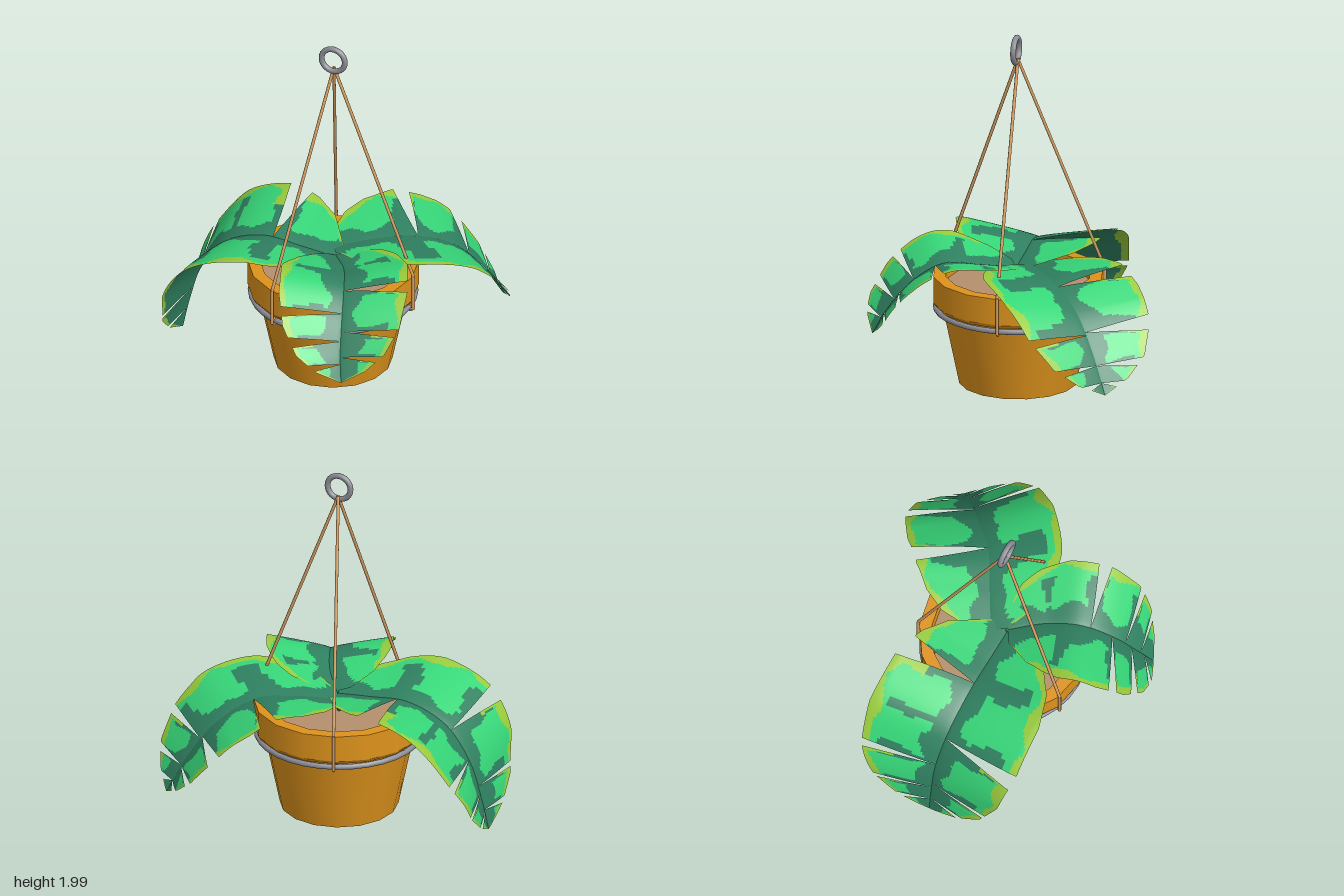
import * as THREE from 'three';
import { mergeGeometries } from 'three/addons/utils/BufferGeometryUtils.js';

const mat = (name, color) => Object.assign(new THREE.MeshStandardMaterial({ color }), { name });
const V = (x, y, z) => new THREE.Vector3(x, y, z);
const UP = V(0, 1, 0);
const CX = 0.03, CZ = 0.02; // pot axis

// Lathe with a crease at every profile point
function creasedLathe(points, sides) {
  const parts = [];
  for (let i = 0; i < points.length - 1; i++) {
    const pair = [points[i], points[i + 1]].map(p => new THREE.Vector2(...p));
    parts.push(new THREE.LatheGeometry(pair, sides));
  }
  return mergeGeometries(parts);
}

function rod(a, b, r) {
  const g = new THREE.CylinderGeometry(r, r, a.distanceTo(b), 8);
  const dir = b.clone().sub(a).normalize();
  g.applyQuaternion(new THREE.Quaternion().setFromUnitVectors(UP, dir));
  const m = a.clone().add(b).multiplyScalar(0.5);
  return g.translate(m.x, m.y, m.z);
}

// Half-width of a leaf at fraction t of its length
const PROFILE = [[0, 0.1], [0.1, 0.29], [0.2, 0.38], [0.33, 0.44], [0.52, 0.45],
  [0.7, 0.41], [0.85, 0.31], [0.94, 0.17], [1, 0]];
function halfWidth(t) {
  const i = Math.max(1, PROFILE.findIndex(p => p[0] >= t));
  const [t0, w0] = PROFILE[i - 1], [t1, w1] = PROFILE[i];
  return THREE.MathUtils.mapLinear(t, t0, t1, w0, w1);
}

// Lobes between the slits: root range on the midrib and range on the outline
function lobesOf(slits) {
  const cuts = [[0, 0], ...slits, [1, 1]];
  return slits.concat([[1, 1]]).map((next, i) => ({
    roots: [cuts[i], next].map(([a, b]) => (a + b) / 2 * 0.98),
    from: cuts[i][1], to: next[0],
  }));
}

// One skin of a leaf: flat lobes bent along the spine, coloured by zone
function bladeGeometry(curve, width, lift, sides, under) {
  const N = 30, total = curve.getLength();
  const chord = curve.getPoint(1).sub(curve.getPoint(0)).setY(0).normalize();
  const place = (t, w) => {
    const tangent = curve.getTangentAt(t);
    const side = UP.clone().cross(tangent.clone().setY(0).addScaledVector(chord, 0.5)).normalize();
    const normal = tangent.clone().cross(side).normalize();
    const rise = lift * Math.pow(Math.min(1, Math.abs(w) / 0.42), 0.8) - (under ? 0.006 : 0);
    return curve.getPointAt(t).addScaledVector(side, w).addScaledVector(normal, rise);
  };
  const pos = [], zones = [[], [], []]; // midrib and veins, blade, margin
  sides.forEach((slits, s) => lobesOf(slits).forEach(({ roots, from, to }) => {
    const sign = s ? -1 : 1, base = pos.length / 3;
    const flip = (s === 1) !== under;
    const veins = to - from > 0.35 ? 2 : 1;
    const local = (u, v) => {
      const t = THREE.MathUtils.lerp(from, to, u), root = THREE.MathUtils.lerp(...roots, u);
      return [THREE.MathUtils.lerp(root, t, v), sign * width * halfWidth(t) * v];
    };
    for (let j = 0; j <= N; j++) for (let i = 0; i <= N; i++) {
      pos.push(...place(...local(i / N, j / N)).toArray());
    }
    for (let j = 0; j < N; j++) for (let i = 0; i < N; i++) {
      const u = (i + 0.5) / N, v = (j + 0.5) / N, [t, w] = local(u, v), l = t * total;
      const wave = Math.sin(l * 17 + w * 9 + s * 2) * 0.6 + Math.sin(l * 31 - w * 23) * 0.4;
      const cell = (u * veins) % 1;
      const onMidrib = Math.abs(w) < 0.095 + 0.04 * wave;
      const onVein = Math.min(cell, 1 - cell) < 0.12 + 0.09 * wave && v < 0.8;
      const onSlit = from > 0 && u < 0.07 + 0.05 * wave && v > 0.55;
      let zone = under || onMidrib || onVein ? 0 : 1;
      if (onSlit || v > 0.89 + 0.07 * wave) zone = 2;
      const a = base + j * (N + 1) + i, b = a + 1, c = a + N + 1, d = c + 1;
      zones[zone].push(...(flip ? [a, c, b, b, c, d] : [a, b, c, b, d, c]));
    }
  }));
  const g = new THREE.BufferGeometry();
  g.setAttribute('position', new THREE.Float32BufferAttribute(pos, 3));
  g.setIndex(zones.flat());
  let start = 0;
  zones.forEach((z, i) => { g.addGroup(start, z.length, i); start += z.length; });
  g.computeVertexNormals();
  return g;
}

export function createModel() {
  const model = new THREE.Group();
  const potMat = mat('terracotta', 0xde931c), soilMat = mat('soil', 0xb58f6c);
  const ropeMat = mat('rope', 0xd6a064), metal = mat('metal', 0x8d8d96);
  const greens = [mat('darkGreen', 0x2f8060), mat('lightGreen', 0x36d678), mat('marginGreen', 0x98cb3c)];
  const add = (parent, name, geo, material, x = 0, y = 0, z = 0) => {
    const m = new THREE.Mesh(geo, material);
    m.name = name;
    m.position.set(x, y, z);
    parent.add(m);
  };
  const addGroup = name => {
    const g = new THREE.Group();
    g.name = name;
    model.add(g);
    return g;
  };

  // Pot
  add(model, 'potBody', creasedLathe([[0, 0.01], [0.325, 0.01], [0.42, 0.47]], 16), potMat, CX, 0, CZ);
  add(model, 'potRim', creasedLathe([[0.41, 0.46], [0.455, 0.46], [0.468, 0.48], [0.468, 0.63],
    [0.40, 0.63], [0.39, 0.55]], 16), potMat, CX, 0, CZ);
  add(model, 'soil', new THREE.CircleGeometry(0.395, 16).rotateX(-Math.PI / 2), soilMat, CX, 0.57, CZ);

  // Metal band and hanging ring
  add(model, 'potBand', new THREE.TorusGeometry(0.45, 0.016, 8, 32).rotateX(Math.PI / 2), metal, CX, 0.44, CZ);
  add(model, 'hangingRing', new THREE.TorusGeometry(0.069, 0.016, 10, 28), metal, 0.035, 1.915, 0.03);

  // Ropes: from the ring over the rim, with a loop round the band
  const top = V(0.035, 1.865, 0.02);
  for (const angle of [0, 1.94, -1.94]) {
    const rope = addGroup('rope');
    const at = (r, y) => V(CX + Math.cos(angle) * r, y, CZ + Math.sin(angle) * r);
    const rim = at(0.476, 0.64);
    add(rope, 'ropeStrand', rod(top, rim, 0.009), ropeMat);
    add(rope, 'ropeDrop', rod(rim, at(0.476, 0.43), 0.009), ropeMat);
    const loop = new THREE.TorusGeometry(0.02, 0.006, 6, 12).rotateY(-angle);
    add(rope, 'ropeLoop', loop, ropeMat, ...at(0.455, 0.438).toArray());
  }

  // Leaves: upper and lower skin on a bent spine, and a short stem
  const addLeaf = (name, width, lift, spine, ...sides) => {
    const leaf = addGroup(name);
    const curve = new THREE.CatmullRomCurve3(spine, false, 'centripetal');
    add(leaf, 'leafTop', bladeGeometry(curve, width, lift, sides, false), greens);
    add(leaf, 'leafUnderside', bladeGeometry(curve, width, lift, sides, true), greens);
    add(leaf, 'stem', rod(V(CX, 0.56, CZ), spine[0], 0.012), greens[0]);
  };
  addLeaf('rightLeaf', 1.02, 0.075,
    [V(0.05, 0.66, 0.03), V(-0.15, 0.68, 0.03), V(-0.38, 0.695, 0.03), V(-0.61, 0.60, 0.03),
      V(-0.755, 0.40, 0.03), V(-0.815, 0.2, 0.04), V(-0.855, 0.01, 0.05)],
    [[0.52, 0.58], [0.81, 0.83], [0.92, 0.94]],
    [[0.24, 0.33], [0.68, 0.71], [0.84, 0.86], [0.93, 0.95]]);
  addLeaf('backLeaf', 0.91, 0.055,
    [V(0, 0.67, -0.05), V(0.2, 0.70, -0.17), V(0.38, 0.70, -0.28), V(0.545, 0.60, -0.44),
      V(0.67, 0.42, -0.56), V(0.76, 0.22, -0.65)],
    [[0.35, 0.46], [0.67, 0.74], [0.86, 0.89], [0.95, 0.97]],
    [[0.70, 0.74], [0.86, 0.89], [0.95, 0.97]]);
  addLeaf('frontLeaf', 0.78, 0.08,
    [V(0.05, 0.67, 0.03), V(0.17, 0.71, 0.2), V(0.25, 0.73, 0.38), V(0.31, 0.63, 0.55),
      V(0.355, 0.47, 0.68), V(0.39, 0.34, 0.75)],
    [[0.45, 0.51], [0.71, 0.75], [0.86, 0.89]],
    [[0.60, 0.65], [0.76, 0.81], [0.90, 0.93]]);
  return model;
}
